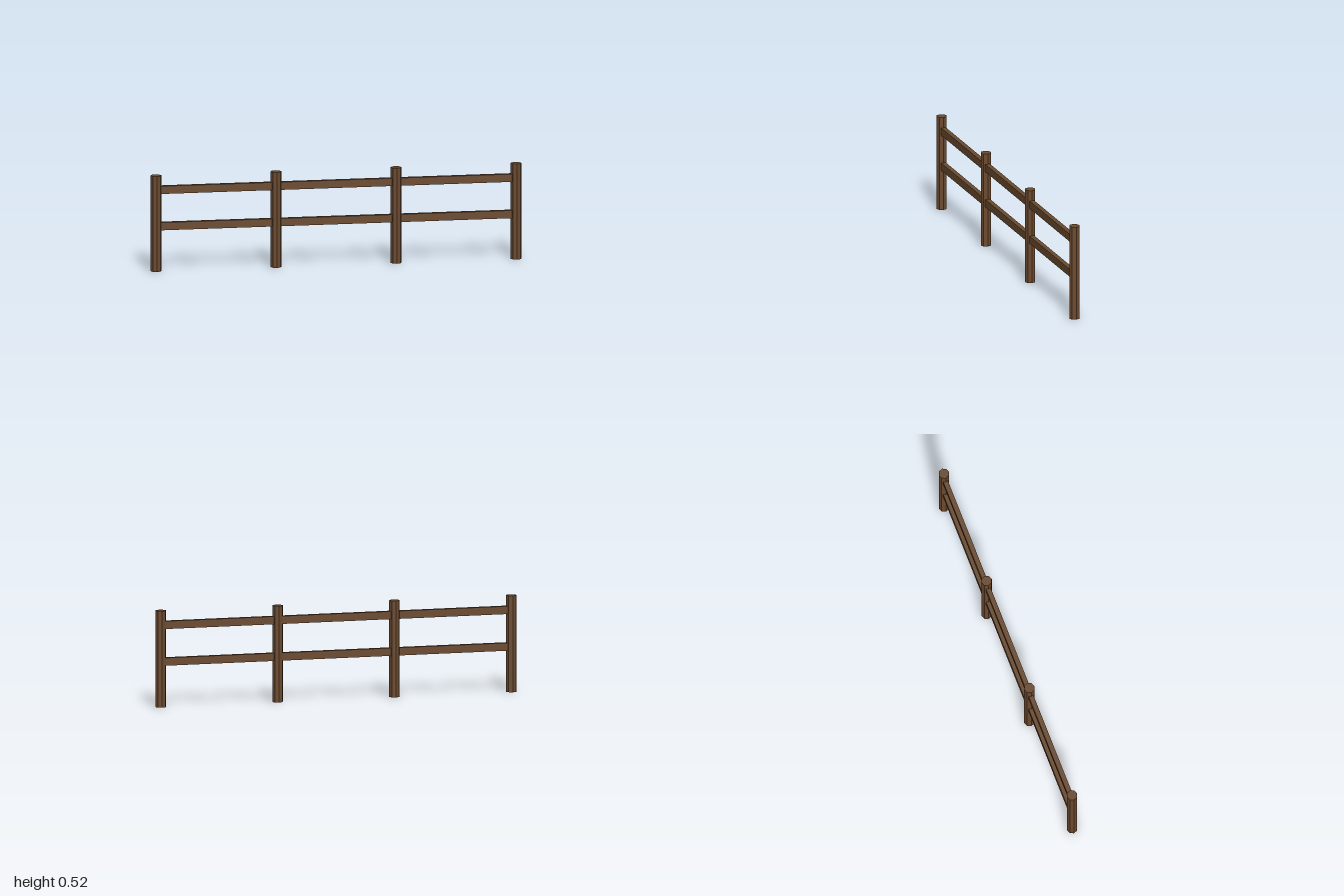
import * as THREE from 'three';

export function createModel() {
  const fence = new THREE.Group();
  fence.name = 'fence';

  const wood = new THREE.MeshStandardMaterial({ color: 0x6b4a2f });
  wood.name = 'brown wood';
  wood.flatShading = true;

  const spacing = 0.647, postHeight = 0.518, postRadius = 0.029;

  // Four octagonal posts
  const postGeometry = new THREE.CylinderGeometry(postRadius, postRadius, postHeight, 8);
  for (let i = 0; i < 4; i++) {
    const post = new THREE.Mesh(postGeometry, wood);
    post.name = `post${i + 1}`;
    post.position.set((i - 1.5) * spacing, postHeight / 2, 0);
    fence.add(post);
  }

  // Two rails in each bay, meeting inside the posts
  const railGeometry = new THREE.BoxGeometry(spacing, 0.042, 0.026);
  const railHeights = { lowerRail: 0.243, upperRail: 0.44 };
  for (const [name, y] of Object.entries(railHeights)) {
    for (let bay = 0; bay < 3; bay++) {
      const rail = new THREE.Mesh(railGeometry, wood);
      rail.name = `${name}${bay + 1}`;
      rail.position.set((bay - 1) * spacing, y, 0);
      fence.add(rail);
    }
  }

  return fence;
}
